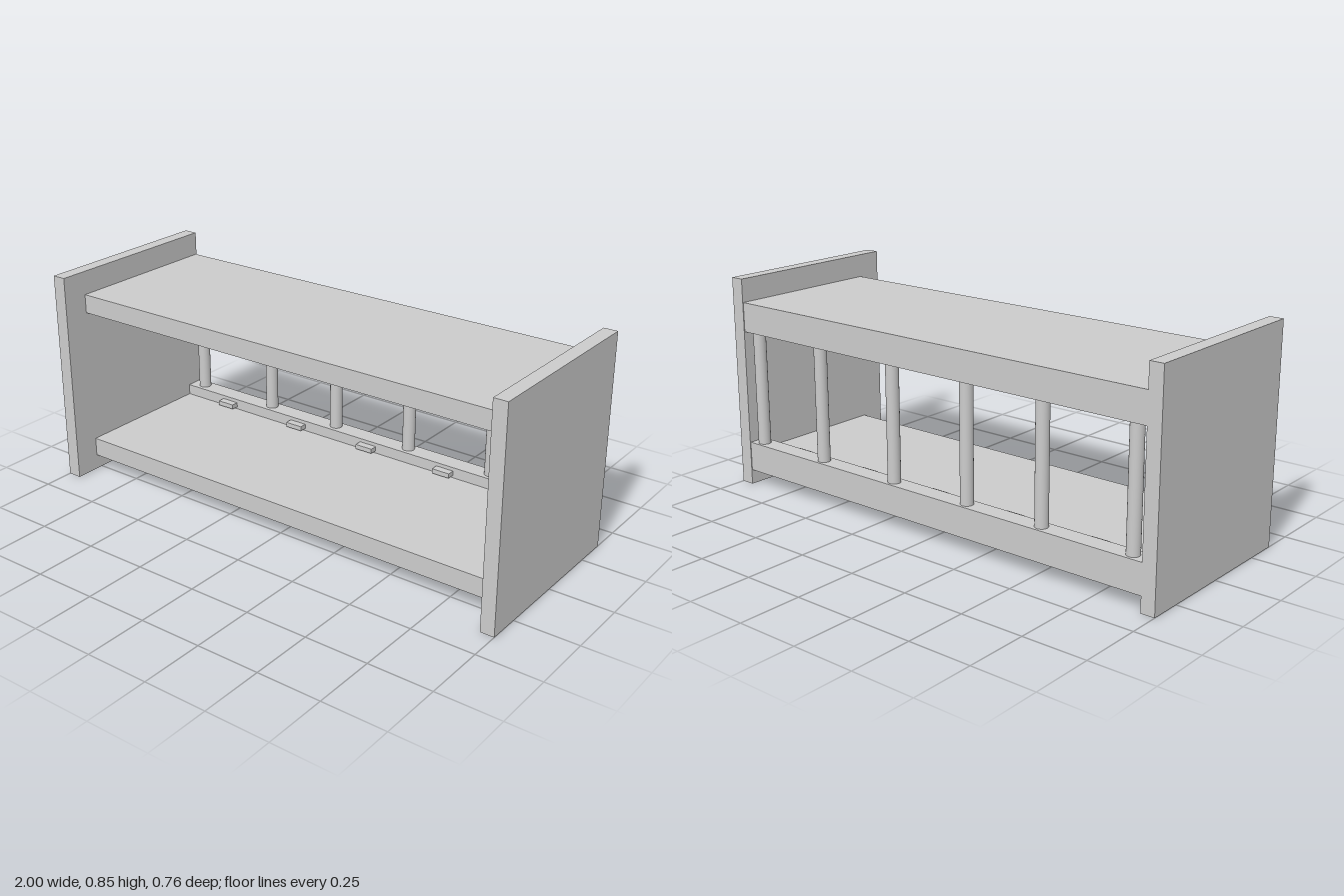
import * as THREE from 'three';

const material = new THREE.MeshStandardMaterial({ color: 0xcccccc });
const BACK = -0.375, RAIL_FRONT = -0.3, INNER = 0.945;

export function createModel() {
  const model = new THREE.Group();
  model.name = 'shelfUnit';

  const add = (name, geometry, x, y, z) => {
    const mesh = new THREE.Mesh(geometry, material);
    mesh.name = name;
    mesh.position.set(x, y, z);
    model.add(mesh);
    return mesh;
  };

  // End panels
  for (const side of [-1, 1]) {
    add(side > 0 ? 'leftEndPanel' : 'rightEndPanel',
      new THREE.BoxGeometry(1 - INNER, 0.85, 0.756), side * (1 + INNER) / 2, 0.425, 0);
  }

  // Shelves with a raised back rail; the upper one mirrors the lower one
  const profile = [[BACK, 0.06], [0.275, 0.06], [0.275, 0.135],
    [RAIL_FRONT, 0.135], [RAIL_FRONT, 0.178], [BACK, 0.178]];
  const blockXs = [-0.71, -0.342, 0.012, 0.374, 0.734];

  for (const upper of [false, true]) {
    const level = (y) => (upper ? 0.816 - y : y);
    const prefix = upper ? 'upper' : 'lower';
    const shape = new THREE.Shape(profile.map(([z, y]) => new THREE.Vector2(z, level(y))));
    const geometry = new THREE.ExtrudeGeometry(shape, { depth: INNER * 2, bevelEnabled: false });
    add(prefix + 'Shelf', geometry, INNER, 0, 0).rotation.y = -Math.PI / 2;

    // Small blocks on the front of the rail
    for (const x of blockXs) {
      add(prefix + 'RailBlock', new THREE.BoxGeometry(0.076, 0.019, 0.032),
        x, level(0.154), RAIL_FRONT + 0.015);
    }
  }

  // Round spindles between the rails
  for (const x of [-0.886, -0.51, -0.175, 0.18, 0.555, 0.899]) {
    add('spindle', new THREE.CylinderGeometry(0.025, 0.025, 0.48, 32), x, 0.408, -0.34);
  }

  return model;
}
